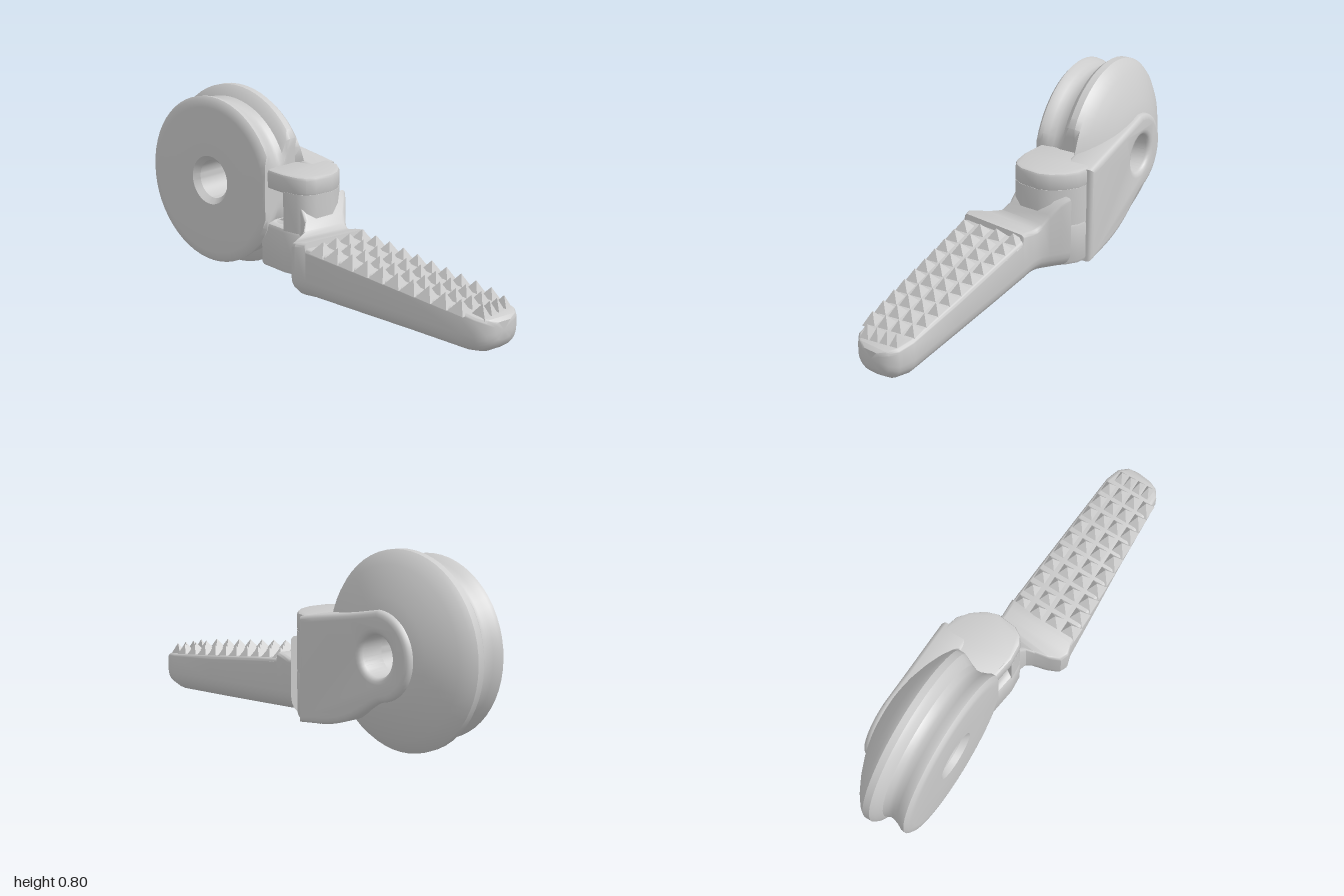
import * as THREE from 'three';
import { mergeGeometries, toCreasedNormals } from 'three/addons/utils/BufferGeometryUtils.js';

const material = new THREE.MeshStandardMaterial({ color: 0xcccccc });
const YAW = 0.148; // wheel and tread share this slight skew

function addMesh(parent, name, geometry) {
  const mesh = new THREE.Mesh(geometry, material);
  mesh.name = name;
  parent.add(mesh);
  return mesh;
}

// Rectangle with big lower and small upper corner radii, counter-clockwise.
function sectionRing([z, xl, xr, yb, yt]) {
  const limit = Math.min(xr - xl, yt - yb) * 0.48;
  const low = Math.min(0.085, limit), high = Math.min(0.018, limit);
  const corners = [
    [xl + low, yb + low, low, Math.PI], [xr - low, yb + low, low, Math.PI * 1.5],
    [xr - high, yt - high, high, 0], [xl + high, yt - high, high, Math.PI / 2],
  ];
  const ring = [];
  for (const [cx, cy, r, start] of corners) {
    for (let i = 0; i <= 5; i++) {
      const a = start + (i / 5) * Math.PI / 2;
      ring.push([cx + r * Math.cos(a), cy + r * Math.sin(a), z]);
    }
  }
  return ring;
}

// Skin over sections ordered from front to back, with both ends capped.
function loft(sections) {
  const rings = sections.map(sectionRing);
  const n = rings[0].length, last = (rings.length - 1) * n;
  const positions = rings.flat(2), index = [];
  for (const [z, xl, xr, yb, yt] of [sections[0], sections.at(-1)]) {
    positions.push((xl + xr) / 2, (yb + yt) / 2, z);
  }
  const front = rings.length * n;
  for (let i = 0; i < n; i++) {
    const j = (i + 1) % n;
    for (let k = 0; k < last; k += n) {
      index.push(k + i, k + n + i, k + j, k + j, k + n + i, k + n + j);
    }
    index.push(front, i, j, front + 1, last + j, last + i);
  }
  const geometry = new THREE.BufferGeometry();
  geometry.setAttribute('position', new THREE.Float32BufferAttribute(positions, 3));
  geometry.setIndex(index);
  return toCreasedNormals(geometry, 0.65);
}

// Horizontal slab from an [x, z] outline, with an optional round hole.
function slab(outline, y0, y1, hole, bevel = 0) {
  const shape = new THREE.Shape(outline.map(([x, z]) => new THREE.Vector2(x, -z)));
  if (hole) shape.holes.push(new THREE.Path().absarc(hole[0], -hole[1], hole[2], 0, Math.PI * 2, true));
  const geometry = new THREE.ExtrudeGeometry(shape, {
    depth: y1 - y0 - 2 * bevel, curveSegments: 12, bevelEnabled: bevel > 0,
    bevelThickness: bevel, bevelSize: bevel, bevelOffset: -bevel, bevelSegments: 2,
  });
  geometry.rotateX(-Math.PI / 2).translate(0, y0 + bevel, 0);
  return toCreasedNormals(geometry, 0.6);
}

function createWheel() {
  const wheel = new THREE.Group();
  wheel.name = 'wheel';
  wheel.position.set(0, 0.4, -0.6);
  wheel.rotation.y = YAW;

  // Grooved rim, flat left face, domed right face, bored centre
  const profile = [
    [0.085, -0.145], [0.108, -0.17], [0.325, -0.172], [0.355, -0.168], [0.37, -0.155], [0.368, -0.138],
    [0.355, -0.115], [0.346, -0.09], [0.345, -0.07], [0.355, -0.048], [0.385, -0.03], [0.4, -0.012],
    [0.4, 0.018], [0.385, 0.038], [0.345, 0.068], [0.29, 0.098], [0.23, 0.124], [0.17, 0.143],
    [0.11, 0.152], [0.085, 0.14], [0.085, -0.145],
  ].map(([r, t]) => new THREE.Vector2(r, t));
  const rim = new THREE.LatheGeometry(profile, 56).rotateZ(-Math.PI / 2);
  // Front of the rim is trimmed to clear the cable opening
  const p = rim.attributes.position;
  for (let i = 0; i < p.count; i++) {
    if (p.getX(i) < 0.03) p.setZ(i, Math.min(p.getZ(i), 0.335));
  }
  addMesh(wheel, 'grooved wheel', toCreasedNormals(rim, 0.6));

  // Arm plate wrapping the hub, with the bore chamfered
  const shape = new THREE.Shape();
  shape.moveTo(-0.44, -0.335);
  shape.lineTo(-0.3, -0.32);
  shape.bezierCurveTo(-0.12, -0.29, -0.07, -0.22, 0.02, -0.18);
  shape.absarc(0, 0, 0.18, -Math.PI / 2 + 0.3, Math.PI / 2, false);
  shape.lineTo(-0.15, 0.15);
  shape.lineTo(-0.36, 0.115);
  shape.lineTo(-0.44, 0.1);
  shape.holes.push(new THREE.Path().absarc(0, 0, 0.085, 0, Math.PI * 2, true));
  const plate = new THREE.ExtrudeGeometry(shape, {
    depth: 0.1, curveSegments: 16, bevelThickness: 0.02, bevelSize: 0.025, bevelOffset: -0.025, bevelSegments: 3,
  });
  plate.rotateY(Math.PI / 2).translate(0.045, 0, 0);
  addMesh(wheel, 'hub arm', toCreasedNormals(plate, 0.6));
  return wheel;
}

// Rows of small pyramids following the taper and slope of the pedal.
function createTread() {
  const cones = [], rows = 11, cols = 4;
  for (let r = 0; r < rows; r++) {
    const z = 0.172 + r * 0.076;
    const f = (z - 0.13) / 0.79;
    let xl = -0.2 + f * 0.155, xr = 0.12 + f * 0.075;
    if (r === rows - 1) { xl += 0.035; xr -= 0.025; }
    const w = (xr - xl) / cols;
    for (let c = 0; c < cols; c++) {
      const x = xl + (c + 0.5) * w;
      const cone = new THREE.ConeGeometry(Math.SQRT1_2, 1, 4, 1).toNonIndexed();
      cone.rotateY(Math.PI / 4).scale(w, 0.056, 0.076).rotateX(0.12).rotateY(YAW);
      cone.translate(x, 0.27 - 0.125 * (z - 0.13) + 0.01, z - (c - 1.5) * w * YAW);
      cone.computeVertexNormals();
      cones.push(cone);
    }
  }
  return mergeGeometries(cones);
}

export function createModel() {
  const model = new THREE.Group();
  model.name = 'pedal lever';

  // Tapered pedal narrowing into the neck: [z, left x, right x, bottom, top]
  addMesh(model, 'pedal and neck', loft([
    [1.0, 0.035, 0.125, 0.065, 0.14], [0.985, 0.0, 0.16, 0.035, 0.153], [0.95, -0.03, 0.187, 0.012, 0.16],
    [0.88, -0.045, 0.197, 0.0, 0.17], [0.6, -0.1, 0.17, 0.015, 0.205], [0.3, -0.165, 0.14, 0.033, 0.245],
    [0.135, -0.2, 0.122, 0.043, 0.266], [0.13, -0.202, 0.122, 0.043, 0.29], [0.09, -0.22, 0.117, 0.046, 0.285],
    [0.055, -0.21, 0.113, 0.048, 0.275], [0.03, -0.17, 0.115, 0.051, 0.275], [0.005, -0.11, 0.122, 0.054, 0.29],
    [-0.02, -0.08, 0.14, 0.056, 0.33], [-0.055, -0.075, 0.17, 0.06, 0.38], [-0.09, -0.08, 0.195, 0.063, 0.4],
  ]));
  addMesh(model, 'tread', createTread());

  // Cable block: upper ring, middle with a side window, lower base
  const block = new THREE.Group();
  block.name = 'cable block';
  const front = [[-0.1, -0.14], [-0.085, -0.07], [-0.06, -0.035], [-0.02, -0.018], [0.07, -0.02],
    [0.12, -0.045], [0.165, -0.09], [0.195, -0.14], [0.203, -0.2], [0.19, -0.29]];
  const ring = [...front, [-0.1, -0.29]];
  const open = [...front, [0.08, -0.29], [0.08, -0.18], [0.055, -0.12], [0, -0.1], [-0.055, -0.12]];
  addMesh(block, 'upper ring', slab(ring, 0.42, 0.505, [0, -0.185, 0.075], 0.014));
  addMesh(block, 'windowed wall', slab(open, 0.26, 0.43));
  addMesh(block, 'lower base', slab(ring, 0.068, 0.27, [0, -0.22, 0.052], 0.02));
  model.add(block);

  model.add(createWheel());
  return model;
}
